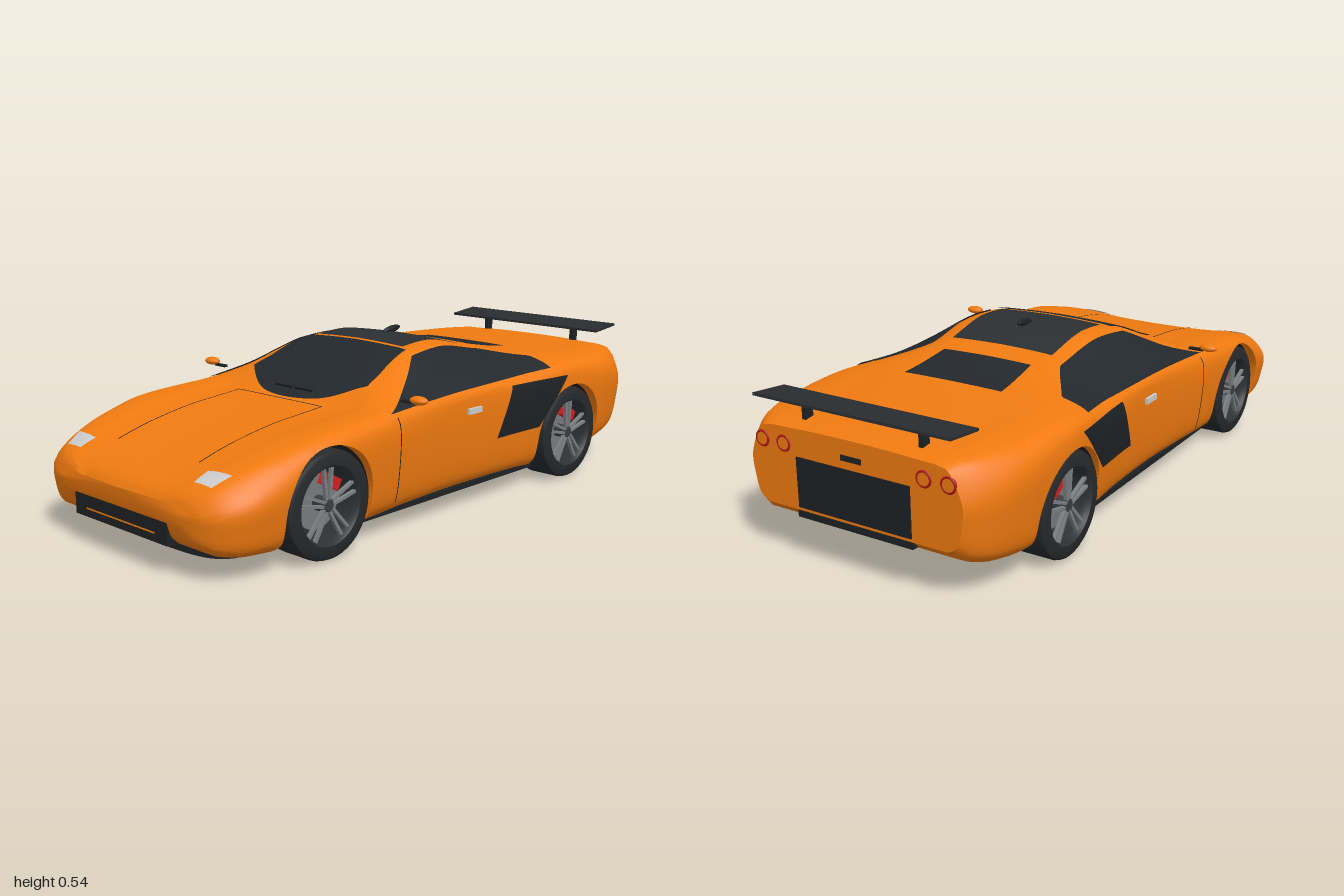
import * as THREE from 'three';
import { toCreasedNormals } from 'three/addons/utils/BufferGeometryUtils.js';

const mat = (color, side = THREE.FrontSide) => new THREE.MeshStandardMaterial({ color, side });
const ORANGE = 0xf07a10, DARK = 0x1e2124, GLASS = 0x23282d, GREY = 0xcccccc, RED = 0xb01818;
const lerp = (a, b, t) => a + (b - a) * t;

// Smooth monotone curve of a value along the car, from [z, value] pairs running front to back
function curve(pts) {
  const slope = pts.slice(1).map((p, i) => (p[1] - pts[i][1]) / (p[0] - pts[i][0]));
  const tan = pts.map((p, i) => {
    const a = slope[Math.max(i - 1, 0)], b = slope[Math.min(i, slope.length - 1)];
    return a * b <= 0 ? 0 : 2 * a * b / (a + b);
  });
  return z => {
    let i = 0;
    while (i < pts.length - 2 && z < pts[i + 1][0]) i++;
    const h = pts[i + 1][0] - pts[i][0];
    const t = THREE.MathUtils.clamp((z - pts[i][0]) / h, 0, 1), s = 1 - t;
    return (1 + 2 * t) * s * s * pts[i][1] + t * s * s * h * tan[i]
      + t * t * (3 - 2 * t) * pts[i + 1][1] - t * t * s * h * tan[i + 1];
  };
}

// Body lines: centre top, roof edge, shoulder, widest line and floor
const topY = curve([[1, .212], [.98, .236], [.94, .255], [.86, .283], [.75, .314], [.6, .342], [.45, .36], [.36, .371],
  [.28, .414], [.2, .455], [.13, .485], [.05, .507], [-.08, .517], [-.3, .475], [-.5, .44], [-.65, .43], [-.92, .42], [-.99, .405]]);
const roofX = curve([[1, .15], [.94, .22], [.75, .25], [.2, .255], [.05, .235], [-.3, .215], [-.5, .26], [-.99, .25]]);
const roofDrop = curve([[1, .003], [.9, -.006], [.6, -.007], [.42, 0], [.28, .002], [.18, .014], [-.1, .014], [-.5, .006], [-.99, .006]]);
const shoulderX = curve([[1, .22], [.98, .3], [.94, .355], [.86, .385], [.75, .408], [.6, .42], [.36, .41], [0, .4],
  [-.3, .4], [-.55, .425], [-.8, .402], [-.92, .365], [-.99, .325]]);
const shoulderY = curve([[1, .206], [.98, .23], [.94, .252], [.86, .286], [.75, .318], [.6, .35], [.36, .366], [0, .385],
  [-.3, .392], [-.6, .402], [-.92, .393], [-.99, .38]]);
const wideX = curve([[1, .27], [.98, .35], [.94, .402], [.86, .438], [.75, .449], [.6, .45], [.36, .437], [.2, .424],
  [0, .415], [-.2, .42], [-.4, .437], [-.6, .45], [-.75, .446], [-.87, .425], [-.95, .39], [-.99, .36]]);
const wideY = curve([[1, .19], [.86, .225], [.6, .3], [.36, .315], [-.3, .34], [-.7, .345], [-.99, .3]]);
const floorY = curve([[1, .165], [.98, .11], [.94, .08], [.86, .066], [.7, .06], [-.5, .06], [-.7, .078], [-.87, .1], [-.95, .125], [-.99, .16]]);

const section = z => {
  const w = wideX(z), yb = floorY(z), yt = topY(z), xr = roofX(z), yr = yt - roofDrop(z);
  const xs = shoulderX(z), ys = shoulderY(z), yw = wideY(z);
  return new THREE.SplineCurve([[0, yt], [xr * .55, lerp(yt, yr, .25)], [xr, yr], [(xr + xs) / 2, (yr + ys) / 2 + .008],
    [xs, ys], [w, yw], [w * .985, lerp(yw, yb, .5)], [w * .945, lerp(yw, yb, .85)], [w * .86, yb]].map(p => new THREE.Vector2(...p)));
};
const N = 48;
// Surface lookups along a section: height at x (from the centre out), or half width at y (from the floor up)
function lookup(z, from, to, value) {
  const p = section(z).getPoints(N);
  let i = from === 'x' ? 0 : N - 1;
  if (from === 'x') while (i < N - 1 && p[i + 1].x < value) i++;
  else while (i > 0 && p[i].y < value) i--;
  return lerp(p[i][to], p[i + 1][to], THREE.MathUtils.clamp((value - p[i][from]) / (p[i + 1][from] - p[i][from]), 0, 1));
}
const onTop = (x, z) => [x, lookup(z, 'x', 'y', Math.abs(x)) + .004, z];
const onSide = (z, y) => [lookup(z, 'y', 'x', y) + .004, y, z];

const WHEELS = [.6, -.573], AXLE = .159, ARCH = .173;
const archY = z => Math.max(floorY(z), ...WHEELS.map(c => Math.abs(z - c) <= ARCH + 1e-6
  ? AXLE + Math.sqrt(Math.max(0, ARCH ** 2 - (z - c) ** 2)) : 0));

function meshOf(name, geo, material) {
  const m = new THREE.Mesh(geo, material);
  m.name = name;
  return m;
}
function geometryOf(pos, idx) {
  const g = new THREE.BufferGeometry();
  g.setAttribute('position', new THREE.Float32BufferAttribute(pos, 3));
  g.setIndex(idx);
  return g;
}

// Body shell lofted from front to back, with the wheel wells cut into its sections
function bodyGeometry() {
  const zs = [1, .995, .99, .985];
  for (let z = .98; z > -.985; z -= .02) zs.push(z);
  zs.push(-.985, -.99);
  for (const c of WHEELS) {
    zs.push(c + ARCH + .0005, c - ARCH - .0005);
    for (let k = 0; k <= 18; k++) zs.push(c + ARCH * Math.cos(k * Math.PI / 18));
  }
  zs.sort((a, b) => b - a);
  const pos = [], idx = [];
  let ring = 0;
  zs.forEach(z => {
    const edge = archY(z), floor = floorY(z), edgeX = lookup(z, 'y', 'x', edge), inner = Math.min(.27, edgeX * .7);
    const half = section(z).getPoints(N).map((p, i) => i > N * .45 && p.y < edge ? [edgeX, edge] : [p.x, p.y]);
    half.push([inner, edge], [inner, floor], [0, floor]);
    const loop = [...half, ...half.slice(1, -1).reverse().map(([x, y]) => [-x, y])];
    ring = loop.length;
    loop.forEach(([x, y]) => pos.push(x, y, z));
  });
  const last = (zs.length - 1) * ring;
  for (let i = 0; i < zs.length - 1; i++) for (let j = 0; j < ring; j++) {
    const a = i * ring + j, b = i * ring + (j + 1) % ring;
    idx.push(a, b, a + ring, b, b + ring, a + ring);
  }
  for (let j = 1; j < ring - 1; j++) idx.push(0, j + 1, j, last, last + j, last + j + 1);
  return toCreasedNormals(geometryOf(pos, idx), .6);
}

// Thin panel laid over the body; f(u, v) gives a point for u, v in 0..1
function panel(name, color, f, nu = 14, nv = 14, mirror = 1) {
  const pos = [], idx = [];
  for (let i = 0; i <= nu; i++) for (let j = 0; j <= nv; j++) {
    const [x, y, z] = f(i / nu, j / nv);
    pos.push(x * mirror, y, z);
    if (i < nu && j < nv) {
      const a = i * (nv + 1) + j, c = a + nv + 1;
      idx.push(...(mirror > 0 ? [a, c, a + 1, a + 1, c, c + 1] : [a, a + 1, c, a + 1, c + 1, c]));
    }
  }
  const g = geometryOf(pos, idx);
  g.computeVertexNormals();
  return meshOf(name, g, mat(color, THREE.DoubleSide));
}
// Bilinear quad between corners a-b (u) and d-c (v)
const quad = (a, b, c, d, place) => (u, v) =>
  place(...[0, 1].map(k => lerp(lerp(a[k], b[k], u), lerp(d[k], c[k], u), v)));

function box(name, color, w, h, d, x, y, z) {
  const m = meshOf(name, new THREE.BoxGeometry(w, h, d), mat(color));
  m.position.set(x, y, z);
  return m;
}

// Wheel with its outer face towards +x; the caliper sits towards the rear
function wheel(side) {
  const g = new THREE.Group();
  g.name = 'wheel';
  const lathe = (name, pts, color) => g.add(meshOf(name, toCreasedNormals(new THREE.LatheGeometry(
    pts.map(p => new THREE.Vector2(...p)), 40).rotateZ(-Math.PI / 2), .6), mat(color, THREE.DoubleSide)));
  lathe('tyre', [[.105, -.068], [.145, -.07], [.155, -.062], [.159, -.05], [.159, .05], [.155, .06], [.145, .066], [.116, .066]], 0x26282a);
  lathe('rim', [[.116, .066], [.11, .058], [.106, .04], [.106, -.03], [0, -.03]], 0x2e3134);
  lathe('brakeDisc', [[.08, -.02], [.08, .008], [0, .008]], 0x77797c);
  lathe('hub', [[.022, .01], [.022, .052], [.016, .058], [0, .058]], 0x3a3d40);
  for (let k = 0; k < 5; k++) {
    const arm = new THREE.Group();
    for (const s of [-1, 1]) {
      const spoke = box('spoke', 0x7c7f83, .012, .092, .009, .05, .063, s * .011);
      spoke.rotation.x = s * .1;
      arm.add(spoke);
    }
    arm.rotation.x = k * Math.PI * 2 / 5;
    g.add(arm);
  }
  const caliper = box('caliper', 0xd02020, .03, .034, .06, .024, .058, -side * .034);
  caliper.rotation.x = -side * .5;
  g.add(caliper);
  return g;
}

export function createModel() {
  const car = new THREE.Group();
  car.name = 'sportsCar';
  car.add(meshOf('body', bodyGeometry(), mat(ORANGE)));

  // Glass and roof panels
  car.add(panel('windshield', GLASS, (u, v) => {
    const s = u * 2 - 1;
    return onTop(s * lerp(.218, .258, v), lerp(.045, .375 - .11 * s * s, v));
  }, 24, 20));
  car.add(panel('roofPanel', 0x2c2f32, quad([-.19, .03], [.19, .03], [.185, -.265], [-.185, -.265], onTop)));
  car.add(panel('rearWindow', GLASS, quad([-.16, -.345], [.16, -.345], [.175, -.53], [-.175, -.53], onTop)));
  car.add(panel('hoodSeam', DARK, quad([-.19, .39], [.19, .39], [.19, .394], [-.19, .394], onTop), 14, 1));

  for (const m of [1, -1]) {
    car.add(panel('sideWindow', GLASS, (u, v) => {
      const k = lerp(2.2, 4.05, u), front = lerp(.06, .33, u), back = lerp(-.3, -.46, Math.min(1, u * 2.5));
      const z = lerp(front, back, v), p = section(z).getPoint(k / 8);
      return [p.x + .002, p.y + .004, z];
    }, 16, 26, m));
    car.add(panel('sideIntake', DARK, quad([-.25, .37], [-.53, .37], [-.39, .21], [-.18, .205], onSide), 14, 14, m));
    car.add(panel('doorSeam', DARK, quad([.309, .36], [.313, .36], [.313, .1], [.309, .1], onSide), 1, 14, m));
    car.add(panel('hoodSideSeam', DARK, quad([.187, .39], [.191, .39], [.191, .86], [.187, .86], onTop), 1, 24, m));
    car.add(panel('headlight', 0xc4c6c8, quad([.265, .94], [.335, .938], [.355, .882], [.262, .888], onTop), 8, 8, m));
    car.add(box('doorHandle', GREY, .01, .018, .065, m * (onSide(-.055, .32)[0] + .001), .32, -.055));
    car.add(box('sill', DARK, .03, .016, .84, m * .372, .066, .005));
    car.add(box('floorRail', DARK, .02, .006, .8, m * .33, .058, .01));

    // Mirror
    const mirror = meshOf('mirror', new THREE.SphereGeometry(1, 20, 12), mat(ORANGE));
    mirror.scale.set(.031, .013, .021);
    mirror.position.set(m * .468, .41, .27);
    car.add(mirror, box('mirrorStalk', DARK, .05, .008, .012, m * .425, .4, .268));

    // Wheels and dark well liners
    for (const z of WHEELS) {
      const w = wheel(m);
      w.position.set(m * .372, AXLE, z);
      w.rotation.y = m > 0 ? 0 : Math.PI;
      const liner = meshOf('wheelWell', new THREE.CylinderGeometry(ARCH - .002, ARCH - .002, .145, 32, 1, true, 0, Math.PI)
        .rotateZ(Math.PI / 2), mat(DARK, THREE.DoubleSide));
      liner.position.set(m * .345, AXLE, z);
      const wall = meshOf('wheelWellWall', new THREE.RingGeometry(.1, ARCH - .002, 32, 1, 0, Math.PI)
        .rotateY(Math.PI / 2), mat(DARK, THREE.DoubleSide));
      wall.position.set(m * .285, AXLE, z);
      car.add(w, liner, wall);
    }

    // Round tail lights, wing posts and floor slats
    for (const x of [.24, .318]) {
      const ring = meshOf('tailLight', new THREE.TorusGeometry(.021, .005, 8, 24), mat(RED));
      const lens = meshOf('tailLens', new THREE.CylinderGeometry(.019, .019, .008, 24).rotateX(Math.PI / 2), mat(ORANGE));
      for (const part of [ring, lens]) part.position.set(m * x, .35, -.988);
      car.add(ring, lens);
    }
    car.add(box('wingPost', DARK, .014, .06, .03, m * .2, .44, -.93));
    for (let k = 0; k < 2; k++) {
      const slat = box('floorSlat', DARK, .01, .01, .08, m * (.07 + k * .13), .072, -.66);
      slat.rotation.x = .09;
      car.add(slat);
    }
  }

  // Rear wing
  const wing = box('rearWing', 0x2a2d30, .67, .008, .124, 0, .473, -.937);
  wing.rotation.x = .1;
  car.add(wing);

  // Rear panel, plate slot and diffuser
  car.add(box('rearPanel', DARK, .39, .15, .012, 0, .245, -.988));
  car.add(box('rearSlot', DARK, .07, .016, .01, 0, .352, -.988));
  car.add(box('diffuser', DARK, .4, .02, .05, 0, .15, -.968));

  // Front grille, its slot and curved lip
  car.add(box('grille', DARK, .43, .066, .06, 0, .123, .967));
  car.add(box('grilleSlot', ORANGE, .32, .004, .004, 0, .116, .997));
  const lip = new THREE.Shape();
  lip.moveTo(-.36, -.85);
  lip.bezierCurveTo(-.34, -.95, -.25, -.945, 0, -.945);
  lip.bezierCurveTo(.25, -.945, .34, -.95, .36, -.85);
  lip.bezierCurveTo(.3, -.91, .2, -.91, 0, -.91);
  lip.bezierCurveTo(-.2, -.91, -.3, -.91, -.36, -.85);
  car.add(meshOf('frontLip', new THREE.ExtrudeGeometry(lip, { depth: .018, bevelEnabled: false, curveSegments: 16 })
    .rotateX(-Math.PI / 2).scale(1, 1, -1).rotateZ(Math.PI).rotateX(Math.PI).translate(0, .06, 0), mat(DARK, THREE.DoubleSide)));

  // Wipers and roof fin
  for (const x of [-.045, .045]) {
    car.add(panel('wiper', 0x101214, quad([x - .04, .325], [x + .04, .325], [x + .04, .333], [x - .04, .333],
      (a, z) => { const p = onTop(a, z); p[1] += .004; return p; }), 6, 1));
  }
  const fin = meshOf('roofFin', new THREE.SphereGeometry(1, 16, 10), mat(DARK));
  fin.scale.set(.01, .012, .042);
  fin.position.set(0, .525, -.128);
  fin.rotation.x = .12;
  car.add(fin);
  return car;
}
